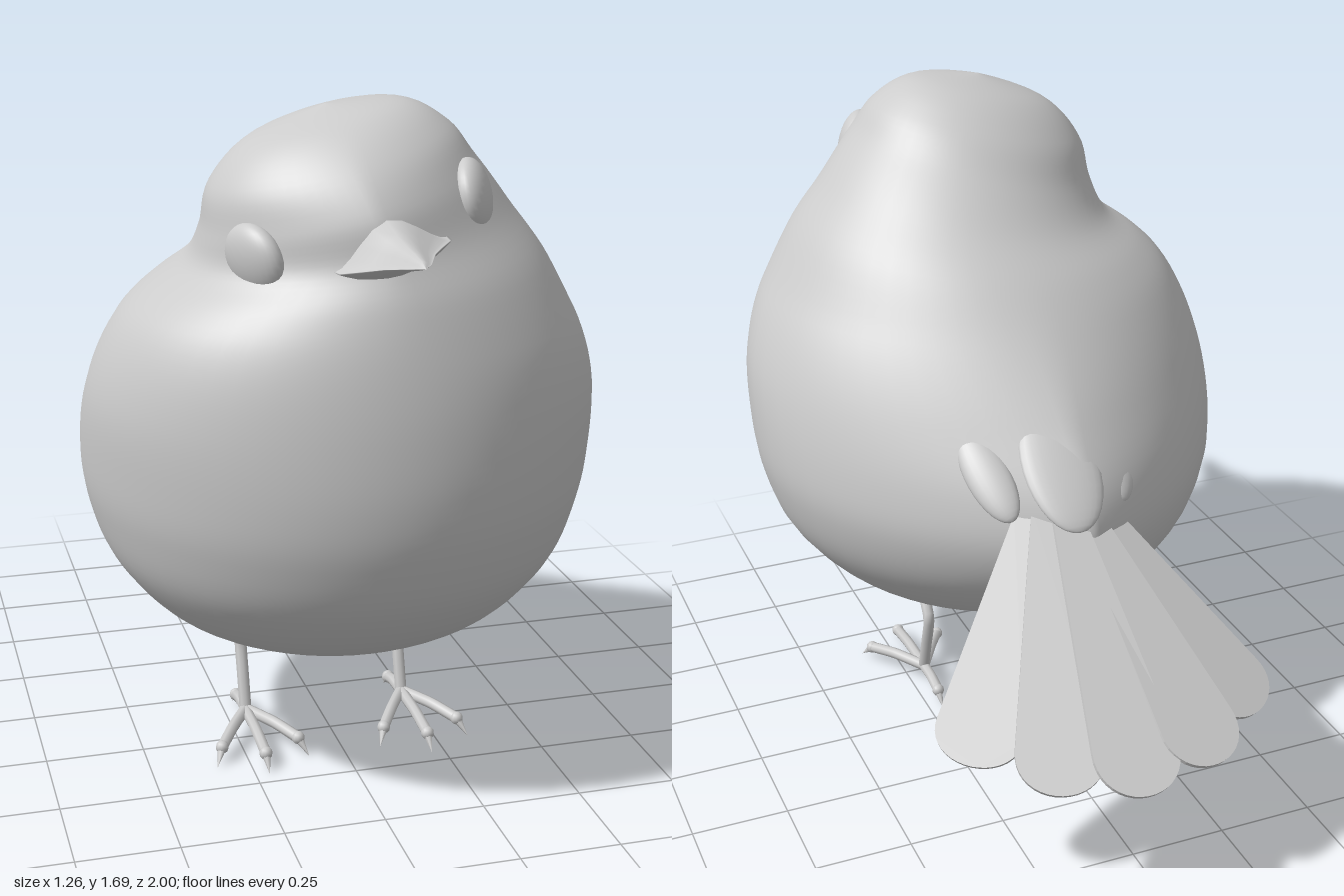
import * as THREE from 'three';

const grey = new THREE.MeshStandardMaterial({ color: 0xcccccc, side: THREE.DoubleSide });
const V = (x, y, z) => new THREE.Vector3(x, y, z);
const ROLL = 0.24; // sideways tilt of the head

function mesh(geometry, name) {
  const m = new THREE.Mesh(geometry, grey);
  m.name = name;
  return m;
}

// Skin a surface over closed rings of equal point count
function loft(rings) {
  const n = rings[0].length, index = [];
  for (let i = 0; i < rings.length - 1; i++) {
    for (let j = 0; j < n; j++) {
      const a = i * n + j, b = i * n + (j + 1) % n;
      index.push(a, a + n, b, b, a + n, b + n);
    }
  }
  const g = new THREE.BufferGeometry().setFromPoints(rings.flat());
  g.setIndex(index);
  g.computeVertexNormals();
  return g;
}

// Smooth interpolation through the rows of a key table
function sampleKeys(keys, t) {
  const i = Math.min(Math.floor(t), keys.length - 2), f = t - i;
  const row = k => keys[Math.max(0, Math.min(keys.length - 1, k))];
  return row(0).map((_, c) => {
    const [a, b, d, e] = [row(i - 1)[c], row(i)[c], row(i + 1)[c], row(i + 2)[c]];
    return b + 0.5 * f * (d - a + f * (2 * a - 5 * b + 4 * d - e + f * (3 * (b - d) + e - a)));
  });
}

// Body and head in one skin: height, centre x, half width, front z, back z, front and back pointedness
function bodyGeometry() {
  const keys = [
    [0.305, 0, 0, 0.27, 0.27, 1, 1],
    [0.33, 0, 0.22, 0.48, 0.03, 1, 1],
    [0.41, 0, 0.42, 0.67, -0.19, 1, 1.1],
    [0.55, 0, 0.555, 0.81, -0.38, 1, 1.35],
    [0.7, 0, 0.615, 0.877, -0.48, 1, 1.6],
    [0.84, 0, 0.632, 0.9, -0.47, 1, 1.7],
    [1.0, 0, 0.622, 0.895, -0.35, 1, 1.45],
    [1.15, 0, 0.57, 0.873, -0.22, 1, 1.2],
    [1.28, 0, 0.48, 0.84, -0.1, 1.1, 1.05],
    [1.38, -0.01, 0.385, 0.8, 0.02, 1.3, 1],
    [1.48, -0.04, 0.325, 0.78, 0.115, 1.4, 1],
    [1.58, -0.065, 0.28, 0.71, 0.2, 1.2, 1],
    [1.66, -0.075, 0.18, 0.6, 0.31, 1, 1],
    [1.695, -0.075, 0, 0.46, 0.46, 1, 1],
  ];
  const rings = [], steps = 78, sides = 56;
  for (let i = 0; i <= steps; i++) {
    const [y, c, w, zf, zb, pf, pb] = sampleKeys(keys, i / steps * (keys.length - 1));
    const zc = zb + (zf - zb) * (0.54 - 0.04 * THREE.MathUtils.smoothstep(y, 1.2, 1.45));
    const tilt = ROLL * THREE.MathUtils.smoothstep(y, 1.18, 1.5);
    const ring = [];
    for (let j = 0; j < sides; j++) {
      const a = j / sides * Math.PI * 2, s = Math.sin(a), k = Math.cos(a);
      const x = c + Math.max(w, 0) * Math.sign(k) * Math.abs(k) ** (s > 0 ? pf : pb);
      ring.push(V(x, y + tilt * (x + 0.04), zc + s * (s > 0 ? zf - zc : zc - zb)));
    }
    rings.push(ring);
  }
  return loft(rings);
}

// Beak: sharp-sided, ridged sections shrinking to a point
function beakGeometry() {
  const sections = [[0.72, 1, 0], [0.79, 0.95, 0], [0.84, 0.66, 0.005], [0.89, 0.43, 0.012],
    [0.94, 0.27, 0.018], [0.98, 0.14, 0.022], [1.0, 0, 0.022]];
  return loft(sections.map(([z, s, rise]) => Array.from({ length: 24 }, (_, j) => {
    const a = -j / 24 * Math.PI * 2, u = Math.sin(a);
    const x = 0.135 * s * Math.cos(a);
    const y = (u > 0 ? 0.084 * u ** 4 : -0.045 * u ** 2) * s;
    return V(x - 0.008 - y * ROLL, 1.396 + rise + y + x * ROLL, z);
  })).reverse());
}

// Mesh whose local y runs along dir and local z faces the given normal
function orient(m, origin, dir, normal) {
  const d = dir.clone().normalize();
  const side = d.clone().cross(normal).normalize();
  m.quaternion.setFromRotationMatrix(new THREE.Matrix4().makeBasis(side, d, side.clone().cross(d)));
  m.position.copy(origin);
  return m;
}

// Flat tail feather with a rounded end
function feather(base, tip, normal) {
  const dir = tip.clone().sub(base), L = dir.length();
  const s = new THREE.Shape();
  s.moveTo(-0.035, 0);
  s.lineTo(-0.105, L * 0.84);
  s.bezierCurveTo(-0.115, L * 0.94, -0.06, L, 0, L);
  s.bezierCurveTo(0.06, L, 0.115, L * 0.94, 0.105, L * 0.84);
  s.lineTo(0.035, 0);
  const g = new THREE.ExtrudeGeometry(s, { depth: 0.012, bevelEnabled: false, curveSegments: 10 });
  return orient(mesh(g, 'tailFeather'), base, dir, normal);
}

function tube(points, r, name) {
  const curve = new THREE.CatmullRomCurve3(points, false, 'catmullrom', 0.3);
  return mesh(new THREE.TubeGeometry(curve, 14, r, 8), name);
}

function leg(side) {
  const g = new THREE.Group();
  g.name = side > 0 ? 'leftLeg' : 'rightLeg';
  g.position.x = 0.215 * side;
  g.add(tube([V(0, 0.38, 0.225), V(0, 0.31, 0.185), V(0, 0.24, 0.138), V(0, 0.15, 0.163), V(0, 0.06, 0.19)], 0.016, 'shank'));
  // Three front toes and one hind toe, each ending in a claw
  const toes = [[-0.1, 0.36], [0, 0.42], [0.1, 0.36], [0, 0.075]];
  for (const [x, z] of toes) {
    const end = V(x, 0.042, z), root = V(0, 0.055, 0.19);
    const mid = root.clone().lerp(end, 0.55).setY(0.054);
    g.add(tube([root, mid, end], 0.015, 'toe'));
    const knuckle = mesh(new THREE.SphereGeometry(0.017, 10, 8), 'toeTip');
    knuckle.position.copy(end);
    const out = end.clone().sub(root).setY(0).normalize().multiplyScalar(0.04).setY(-0.038);
    const claw = mesh(new THREE.ConeGeometry(0.013, out.length(), 8).translate(0, out.length() / 2, 0), 'claw');
    g.add(knuckle, orient(claw, end, out, V(0, 1, 0.01)));
  }
  return g;
}

export function createModel() {
  const bird = new THREE.Group();
  bird.name = 'bird';
  bird.add(mesh(bodyGeometry(), 'body'), mesh(beakGeometry(), 'beak'));

  // Eyes: flattened balls following the head tilt
  for (const [x, y, nx, name] of [[0.226, 1.488, 1, 'leftEye'], [-0.28, 1.367, -1, 'rightEye']]) {
    const eye = mesh(new THREE.SphereGeometry(1, 28, 20), name);
    eye.scale.set(0.092, 0.088, 0.045);
    bird.add(orient(eye, V(x, y, 0.62), V(-ROLL, 1, 0), V(nx * 0.89, nx * 0.89 * ROLL, 0.42)));
  }

  // Tail fan, its outer feathers drooping a little
  const tail = new THREE.Group();
  tail.name = 'tail';
  const tips = [[-0.28, 0.405, -0.83], [-0.105, 0.385, -0.96], [0.09, 0.37, -0.992], [0.275, 0.38, -0.93], [0.435, 0.4, -0.77]];
  tips.forEach((t, i) => {
    const s = i - 2;
    const base = V(0.05 + s * 0.045, 0.84 - Math.abs(s) * 0.015, -0.4);
    tail.add(feather(base, V(...t), V(s * 0.16, 0.78, -0.62)));
  });
  bird.add(tail);

  // Rump tongue over the tail root, with a folded wing tip on each side; only the lower ends lift clear
  const flaps = [
    ['rumpFeathers', V(0.045, 0.925, -0.38), V(0.02, -0.66, -0.75), 0.1, 0.175, V(0, 0.75, -0.66)],
    ['leftWingTip', V(0.215, 0.905, -0.325), V(-0.2, -0.62, -0.75), 0.055, 0.13, V(0.35, 0.7, -0.6)],
    ['rightWingTip', V(-0.125, 0.905, -0.33), V(0.2, -0.62, -0.75), 0.055, 0.13, V(-0.35, 0.7, -0.6)],
  ];
  for (const [name, centre, dir, w, len, normal] of flaps) {
    const flap = mesh(new THREE.SphereGeometry(1, 24, 16), name);
    flap.scale.set(w, len, 0.028);
    bird.add(orient(flap, centre, dir, normal));
  }

  bird.add(leg(1), leg(-1));
  return bird;
}
